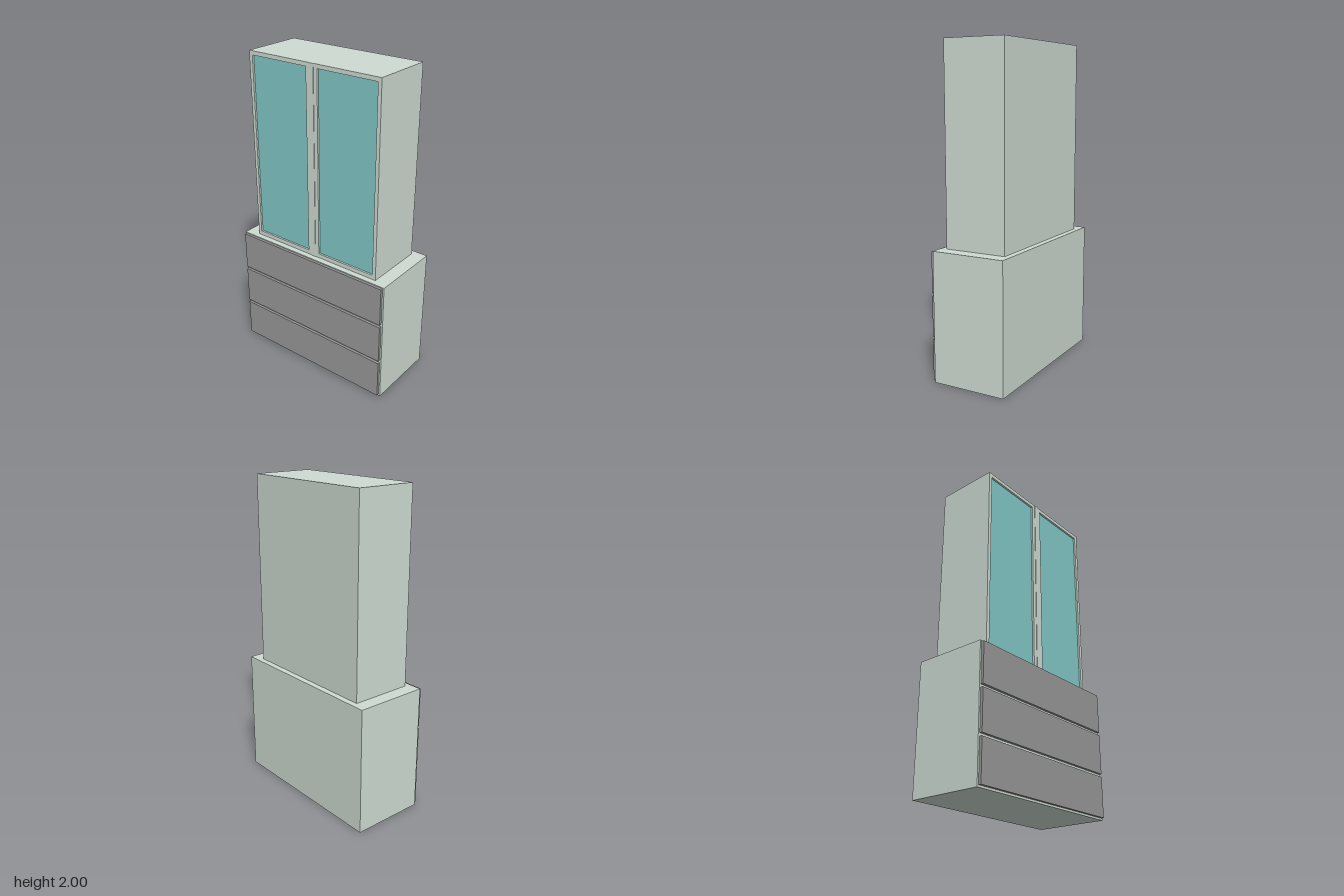
import * as THREE from 'three';

const sage = new THREE.MeshStandardMaterial({ color: 0xcedbd2 });
const grey = new THREE.MeshStandardMaterial({ color: 0x989898 });
const teal = new THREE.MeshStandardMaterial({ color: 0x82c8c8 });

// Box given by its lower and upper limits on each axis
function box(name, material, [x0, x1], [y0, y1], [z0, z1]) {
  const mesh = new THREE.Mesh(new THREE.BoxGeometry(x1 - x0, y1 - y0, z1 - z0), material);
  mesh.position.set((x0 + x1) / 2, (y0 + y1) / 2, (z0 + z1) / 2);
  mesh.name = name;
  return mesh;
}

// Traces a rectangle on a shape or path
function rect(path, x0, x1, y0, y1) {
  path.moveTo(x0, y0);
  path.lineTo(x1, y0);
  path.lineTo(x1, y1);
  path.lineTo(x0, y1);
  path.closePath();
  return path;
}

export function createModel() {
  const model = new THREE.Group();
  model.name = 'dresserCabinet';

  const baseTop = 0.798, baseFront = 0.225;
  const upperBack = -0.204, upperFront = 0.188, recess = 0.012;

  // Wide drawer base
  model.add(box('base', sage, [-0.55, 0.55], [0, baseTop], [-0.242, baseFront]));
  for (let i = 0; i < 3; i++) {
    const y = 0.012 + i * 0.266;
    model.add(box('drawerFront', grey, [-0.54, 0.54], [y, y + 0.248], [baseFront, 0.242]));
  }

  // Upper cabinet body
  model.add(box('upperCabinet', sage, [-0.463, 0.463], [baseTop, 2], [upperBack, upperFront - recess - 0.004]));

  // Door frame with two window openings
  const frameShape = rect(new THREE.Shape(), -0.463, 0.463, baseTop, 2);
  for (const [x0, x1] of [[-0.44, -0.04], [0.04, 0.44]]) {
    frameShape.holes.push(rect(new THREE.Path(), x0, x1, 0.825, 1.975));
    model.add(box('glassPane', teal, [x0, x1], [0.825, 1.975], [upperFront - recess - 0.004, upperFront - recess]));
  }
  const frame = new THREE.Mesh(
    new THREE.ExtrudeGeometry(frameShape, { depth: recess + 0.004, bevelEnabled: false }), sage);
  frame.position.z = upperFront - recess - 0.004;
  frame.name = 'doorFrame';
  model.add(frame);

  // Slim raised strip where the doors meet
  model.add(box('centreStrip', sage, [-0.015, 0.015], [baseTop, 2], [upperFront - 0.004, upperFront + 0.003]));

  return model;
}
